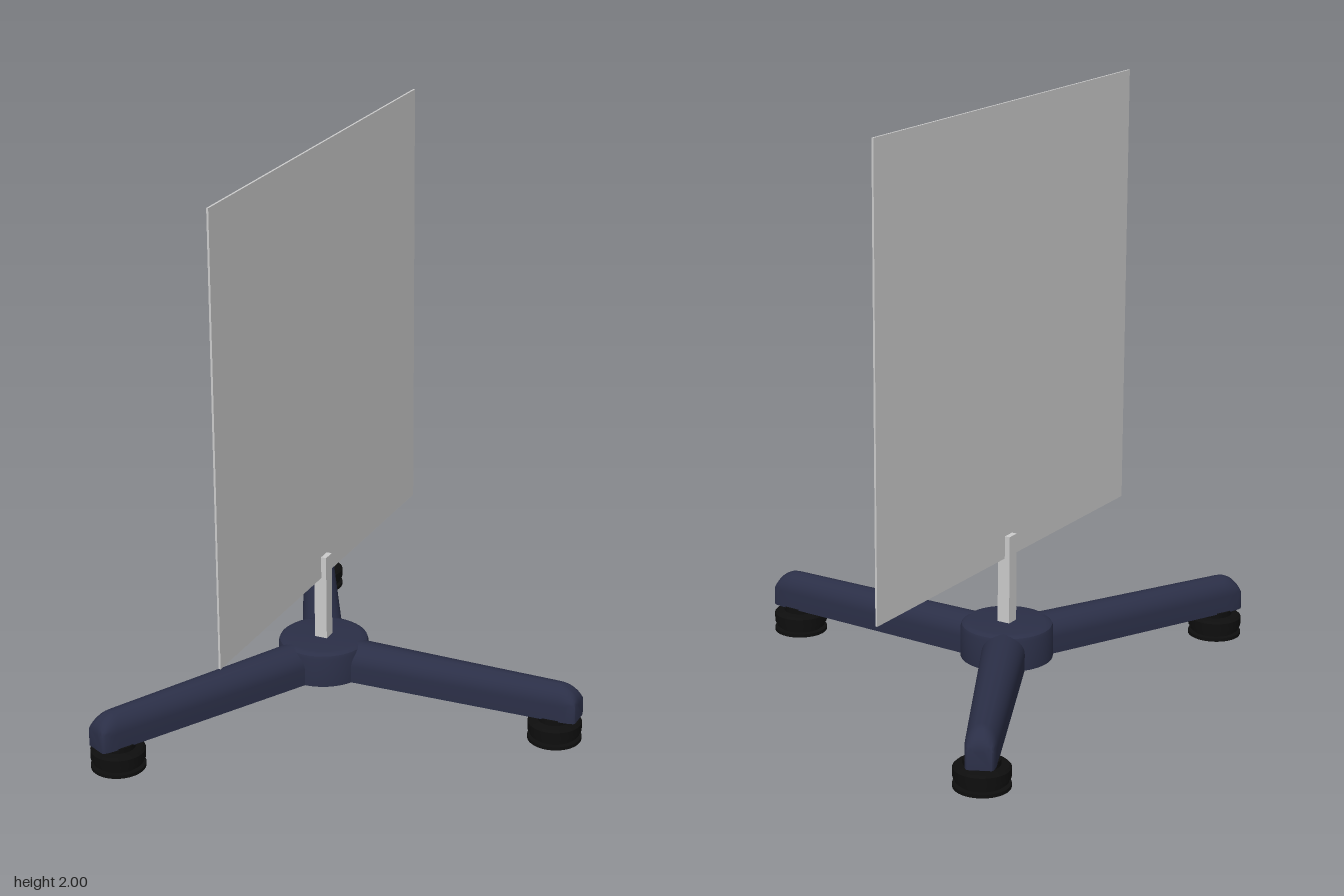
import * as THREE from 'three';
import { toCreasedNormals } from 'three/addons/utils/BufferGeometryUtils.js';

const BASE_Y = 0.09, TOP_Y = 0.215, SHOULDER_Y = 0.15;
const HUB_X = -0.24, LEG_LENGTH = 0.96, FOOT_REACH = 0.873;

function mesh(name, geometry, material) {
  const m = new THREE.Mesh(geometry, material);
  m.name = name;
  return m;
}

// Tapering leg along +x: flat bottom, straight sides, arched top, rounded tip
function legGeometry() {
  const ARC = 16, TIP = 8, tipStart = LEG_LENGTH - 0.075;
  const stations = [{ x: 0, half: 0.077, top: TOP_Y }];
  for (let i = 0; i <= TIP; i++) {
    const a = (i / TIP) * Math.PI / 2;
    stations.push({
      x: tipStart + 0.075 * Math.sin(a),
      half: 0.052 - 0.014 * (1 - Math.cos(a)),
      top: SHOULDER_Y + (TOP_Y - SHOULDER_Y) * Math.cos(a),
    });
  }
  const positions = [], index = [], n = ARC + 3;
  for (const { x, half, top } of stations) {
    positions.push(x, BASE_Y, -half);
    for (let j = 0; j <= ARC; j++) {
      const a = (j / ARC) * Math.PI;
      positions.push(x, SHOULDER_Y + (top - SHOULDER_Y) * Math.sin(a), -half * Math.cos(a));
    }
    positions.push(x, BASE_Y, half);
  }
  for (let i = 0; i < stations.length - 1; i++) {
    for (let j = 0; j < n; j++) {
      const a = i * n + j, b = i * n + (j + 1) % n;
      index.push(a, b, a + n, b, b + n, a + n);
    }
  }
  // End wall of the tip
  const last = (stations.length - 1) * n;
  for (let j = 1; j < n - 1; j++) index.push(last, last + j, last + j + 1);
  const g = new THREE.BufferGeometry();
  g.setAttribute('position', new THREE.Float32BufferAttribute(positions, 3));
  g.setIndex(index);
  return toCreasedNormals(g, 0.6);
}

function lathe(points, segments) {
  const profile = points.map(([r, y]) => new THREE.Vector2(r, y));
  return toCreasedNormals(new THREE.LatheGeometry(profile, segments), 0.6);
}

export function createModel() {
  const group = new THREE.Group();
  const grey = new THREE.MeshStandardMaterial({ color: 0xcccccc });
  const navy = new THREE.MeshStandardMaterial({ color: 0x2b2f47 });
  const black = new THREE.MeshStandardMaterial({ color: 0x0e0e0e });

  const stand = new THREE.Group();
  stand.name = 'stand';
  stand.position.x = HUB_X;
  group.add(stand);

  // Hub with a softened top edge
  stand.add(mesh('hub', lathe([
    [0, BASE_Y], [0.158, BASE_Y], [0.158, 0.195], [0.154, 0.206], [0.144, 0.213], [0.13, TOP_Y], [0, TOP_Y],
  ], 48), navy));

  // Three legs, each on a stepped foot
  const legShape = legGeometry();
  const footShape = lathe([
    [0, 0], [0.093, 0], [0.093, 0.012], [0.075, 0.012], [0.075, 0.02], [0.085, 0.02], [0.085, 0.034],
    [0.093, 0.036], [0.093, 0.066], [0.085, 0.074], [0.06, 0.076], [0.06, 0.094], [0, 0.094],
  ], 40);
  const spread = Math.atan2(0.78, -0.395);
  for (const angle of [0, spread, -spread]) {
    const arm = new THREE.Group();
    arm.name = 'legWithFoot';
    arm.rotation.y = angle;
    const foot = mesh('foot', footShape, black);
    foot.position.x = FOOT_REACH;
    arm.add(mesh('leg', legShape, navy), foot);
    stand.add(arm);
  }

  // Square post, slotted at the top to grip the panel
  const half = 0.023, slot = 0.004, slotY = 0.445, postTop = 0.525;
  const outline = new THREE.Shape([
    [-half, 0.2], [half, 0.2], [half, postTop], [slot, postTop],
    [slot, slotY], [-slot, slotY], [-slot, postTop], [-half, postTop],
  ].map(([x, y]) => new THREE.Vector2(x, y)));
  const postShape = new THREE.ExtrudeGeometry(outline, { depth: half * 2, bevelEnabled: false });
  postShape.translate(0, 0, -half);
  stand.add(mesh('post', postShape, grey));

  // Thin upright panel
  const panel = mesh('panel', new THREE.BoxGeometry(0.007, 2 - slotY, 1.56), grey);
  panel.position.y = (2 + slotY) / 2;
  stand.add(panel);

  return group;
}
